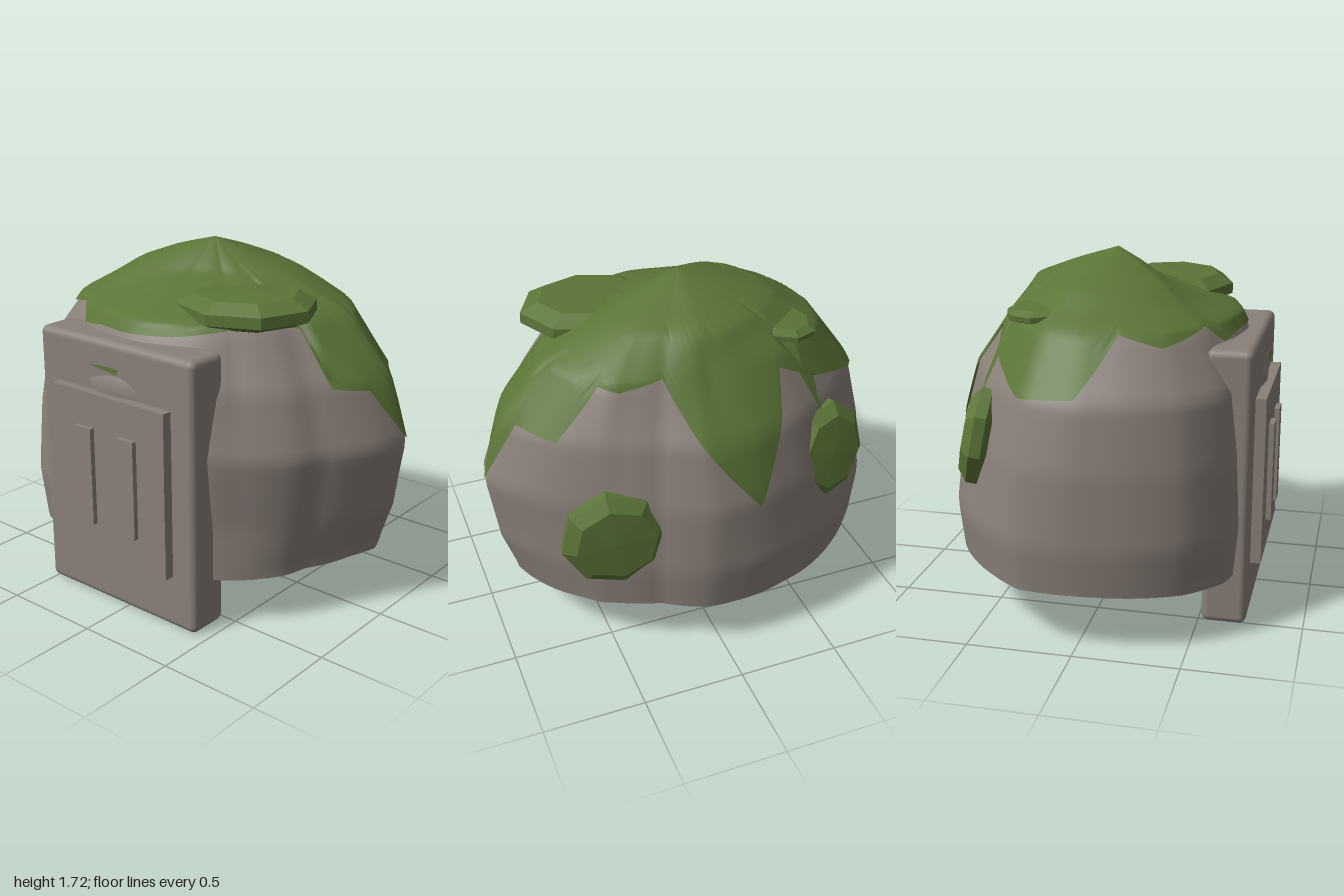
import * as THREE from 'three';
import { RoundedBoxGeometry } from 'three/addons/geometries/RoundedBoxGeometry.js';

// Linear interpolation through [key, value] pairs sorted by key
function sample(pairs, k) {
  if (k <= pairs[0][0]) return pairs[0][1];
  for (let i = 1; i < pairs.length; i++) {
    const [k0, v0] = pairs[i - 1], [k1, v1] = pairs[i];
    if (k <= k1) return v0 + (v1 - v0) * (k - k0) / (k1 - k0);
  }
  return pairs[pairs.length - 1][1];
}

// Boulder plan outline: angle in degrees (0 = +x, 90 = +z), radius
const OUTLINE = [
  [0, 0.965], [6, 0.925], [18, 0.845], [27, 0.84], [45, 0.785], [60, 0.775], [75, 0.755], [90, 0.755],
  [105, 0.78], [126, 0.86], [135, 0.925], [150, 0.975], [174, 0.99], [180, 1], [195, 1.016],
  [207, 0.955], [219, 0.91], [246, 0.83], [267, 0.8], [276, 0.796], [294, 0.745], [309, 0.785],
  [321, 0.84], [333, 0.91], [351, 1.012], [360, 0.965],
];

// Share of the outline radius reached at each height, for every 45 degrees from +x
const LEVELS = [0.27, 0.5, 0.85, 1.15, 1.42, 1.57, 1.65, 1.71];
const SHARES = [
  [0.84, 0.93, 1, 0.89, 0.65, 0.32, 0.13, 0],
  [0.95, 0.95, 1, 0.9, 0.73, 0.22, 0.1, 0],
  [0.95, 0.95, 0.97, 0.99, 0.79, 0.25, 0.12, 0],
  [0.97, 1, 0.97, 0.92, 0.72, 0.42, 0.2, 0],
  [0.98, 1, 0.98, 0.92, 0.72, 0.46, 0.23, 0],
  [0.97, 1, 0.93, 0.84, 0.67, 0.46, 0.22, 0],
  [0.97, 1, 0.98, 0.87, 0.61, 0.5, 0.24, 0],
  [0.98, 1, 0.97, 0.9, 0.74, 0.47, 0.2, 0],
].map((s) => s.map((v, i) => [LEVELS[i], v]));

// Height of the boulder's bottom rim by angle
const RIM = [[0, 0.25], [45, 0.24], [90, 0.25], [135, 0.26], [180, 0.29], [270, 0.27], [325, 0.285], [360, 0.25]];

// Lower edge of the moss cap: angle, height
const MOSS_EDGE = [
  [0, 1.11], [12, 1.14], [15, 1.39], [33, 1.42], [51, 1.4], [72, 1.37], [96, 1.36], [111, 1.36],
  [123, 1.34], [132, 1.42], [153, 1.36], [168, 1.42], [180, 1.17], [198, 1.15], [210, 1.22],
  [219, 1.26], [222, 1.1], [225, 1.31], [234, 1.37], [246, 1.12], [258, 0.82], [270, 1.02], [285, 1.28],
  [294, 1.42], [312, 1.38], [321, 1.4], [330, 1.15], [345, 1.17], [351, 0.86], [360, 1.11],
];

function radiusAt(deg, y) {
  const q = Math.floor(deg / 45) % 8, f = (deg % 45) / 45;
  const a = sample(SHARES[q], y), b = sample(SHARES[(q + 1) % 8], y);
  return sample(OUTLINE, deg) * (a + (b - a) * f);
}

function boulderPoint(deg, y, grow = 0) {
  const r = radiusAt(deg, y) + grow * Math.min(1, (1.71 - y) * 10);
  const t = deg * Math.PI / 180, lean = Math.max(0, y - 1.5) / 0.21;
  return [r * Math.cos(t) - 0.04 * lean, y + grow * 0.8, r * Math.sin(t)];
}

// Closed surface of rings running from top to bottom
function rings(point, rows, segs = 120) {
  const pos = [], index = [];
  for (let j = 0; j <= rows; j++) {
    for (let i = 0; i < segs; i++) pos.push(...point(i * 360 / segs, j / rows));
  }
  for (let j = 0; j < rows; j++) {
    for (let i = 0; i < segs; i++) {
      const a = j * segs + i, b = j * segs + (i + 1) % segs;
      index.push(a, b, a + segs, b, b + segs, a + segs);
    }
  }
  const g = new THREE.BufferGeometry();
  g.setAttribute('position', new THREE.Float32BufferAttribute(pos, 3));
  g.setIndex(index);
  g.computeVertexNormals();
  return g;
}

export function createModel() {
  const group = new THREE.Group();
  const stone = new THREE.MeshStandardMaterial({ color: 0x8a8079 });
  stone.name = 'stone';
  const moss = new THREE.MeshStandardMaterial({ color: 0x5b7537, side: THREE.DoubleSide });
  moss.name = 'moss';
  const add = (name, geometry, material, x = 0, y = 0, z = 0) => {
    const mesh = new THREE.Mesh(geometry, material);
    mesh.name = name;
    mesh.position.set(x, y, z);
    group.add(mesh);
    return mesh;
  };

  // Boulder sides and its shallow domed underside
  add('boulder', rings((d, t) => boulderPoint(d, 1.71 - t * (1.71 - sample(RIM, d))), 36), stone);
  add('boulderUnderside', rings((d, t) => {
    const [x, rim, z] = boulderPoint(d, sample(RIM, d));
    return [x * (1 - t), 0.165 + (rim - 0.165) * (1 - t) ** 2, z * (1 - t)];
  }, 8), stone);

  // Jagged moss cap hugging the boulder
  add('mossCap', rings((d, t) => boulderPoint(d, 1.71 - t * (1.71 - sample(MOSS_EDGE, d)), 0.01), 24), moss);

  // Front slab, raised panel and two upright bars
  add('slab', new RoundedBoxGeometry(0.97, 1.34, 0.215, 3, 0.035), stone, -0.045, 0.67, 0.622);
  add('panel', new THREE.BoxGeometry(0.71, 0.82, 0.06), stone, -0.045, 0.68, 0.75);
  for (const x of [-0.18, 0.09]) add('panelBar', new THREE.BoxGeometry(0.1, 0.49, 0.04), stone, x, 0.675, 0.785);

  // Sliver of moss above the panel
  const sliver = new THREE.Shape([[-0.17, 1.222], [0.0, 1.2], [0.02, 1.228], [-0.08, 1.23]]
    .map(([x, y]) => new THREE.Vector2(x, y)));
  add('mossSliver', new THREE.ShapeGeometry(sliver), moss, 0, 0, 0.757);

  // Flat low-poly moss pads: radius, half thickness, position, facing direction
  const pad = (name, r, h, p, facing, sx = 1, sz = 1) => {
    const profile = [[0, -1], [0.72, -0.9], [1, -0.4], [1, 0.3], [0.75, 0.9], [0, 1]]
      .map(([a, b]) => new THREE.Vector2(a * r, b * h));
    const g = new THREE.LatheGeometry(profile, 8).toNonIndexed();
    g.scale(sx, 1, sz);
    g.computeVertexNormals();
    const mesh = add(name, g, moss, ...p);
    mesh.quaternion.setFromUnitVectors(new THREE.Vector3(0, 1, 0), new THREE.Vector3(...facing).normalize());
  };
  pad('largeMossPad', 0.35, 0.075, [0.33, 1.475, 0.215], [-0.02, 1, 0.02], 1, 0.86);
  pad('smallMossPad', 0.16, 0.035, [-0.48, 1.47, -0.27], [-0.08, 1, -0.04]);
  pad('backMossPad', 0.26, 0.07, [0.49, 0.69, -0.59], [0.17, 0, -1]);
  pad('sideMossPad', 0.25, 0.075, [-0.61, 0.89, -0.54], [-0.22, 0.2, -1], 0.85, 1);

  return group;
}
